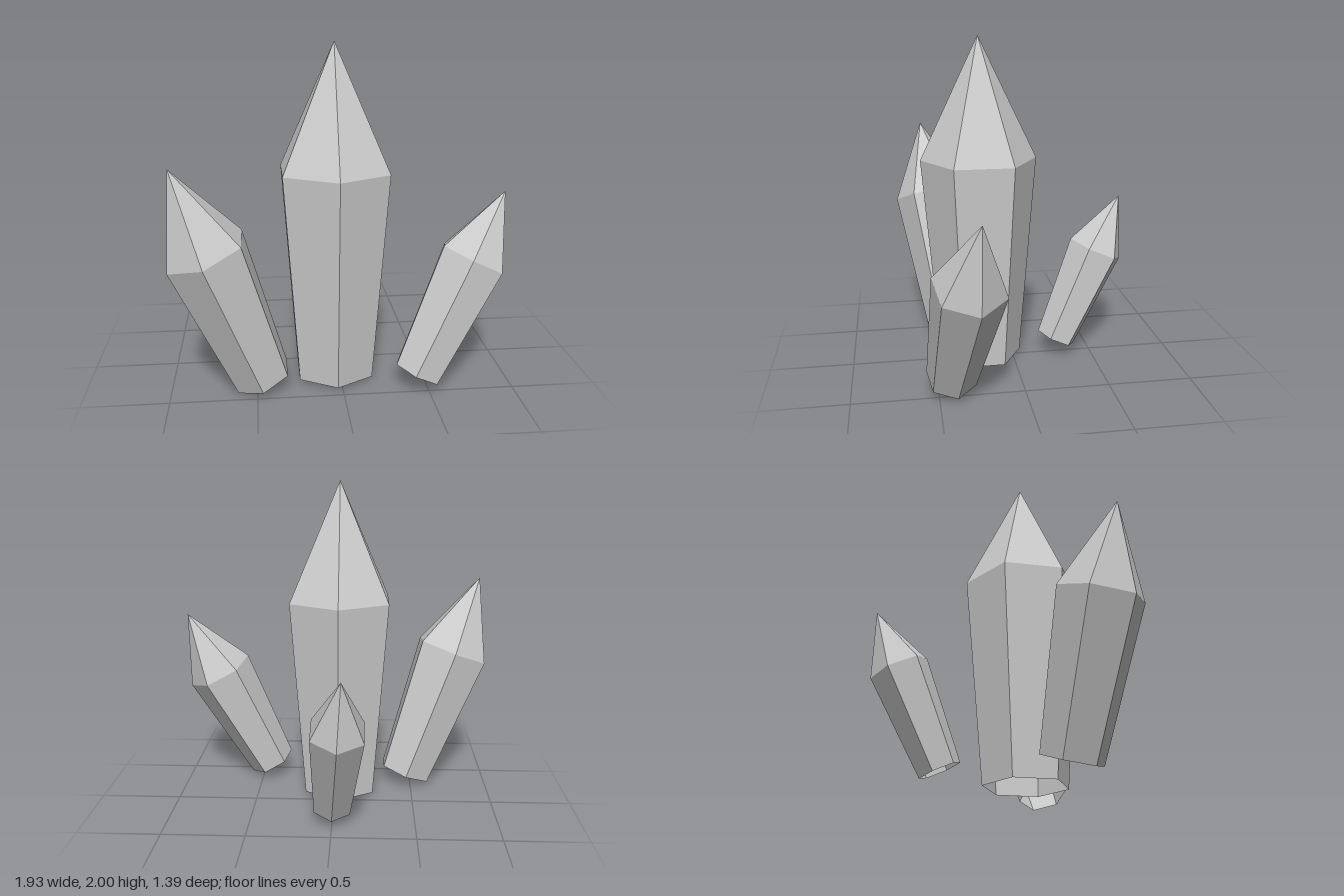
import * as THREE from 'three';

const SIDES = 6;

// Faceted crystal: open at the base, widening to a shoulder, then a point.
// All sizes follow from the length between base centre and tip;
// "edge" is the direction in which the first long edge lies.
function crystal(name, base, tip, edge, material) {
  const a = new THREE.Vector3(...base);
  const b = new THREE.Vector3(...tip);
  const axis = b.clone().sub(a);
  const length = axis.length();
  axis.normalize();
  const u = new THREE.Vector3(...edge);
  u.addScaledVector(axis, -u.dot(axis)).normalize();
  const v = new THREE.Vector3().crossVectors(axis, u);

  const ring = (t, radius) => Array.from({ length: SIDES }, (_, i) => {
    const angle = (i / SIDES) * Math.PI * 2;
    return a.clone().addScaledVector(axis, t * length)
      .addScaledVector(u, Math.cos(angle) * radius * length)
      .addScaledVector(v, Math.sin(angle) * radius * length);
  });
  const foot = ring(0, 0.126);
  const shoulder = ring(0.633, 0.1765);

  const points = [];
  for (let i = 0; i < SIDES; i++) {
    const j = (i + 1) % SIDES;
    points.push(foot[i], foot[j], shoulder[j]); // long side
    points.push(foot[i], shoulder[j], shoulder[i]);
    points.push(shoulder[i], shoulder[j], b); // point
  }
  const geometry = new THREE.BufferGeometry().setFromPoints(points);
  geometry.computeVertexNormals();
  const mesh = new THREE.Mesh(geometry, material);
  mesh.name = name;
  return mesh;
}

export function createModel() {
  const group = new THREE.Group();
  group.name = 'crystalCluster';

  const stone = new THREE.MeshStandardMaterial({
    color: 0xcccccc, flatShading: true, side: THREE.DoubleSide,
  });
  stone.name = 'paleGrey';

  group.add(
    crystal('mainCrystal', [-0.03, 0.015, 0.2], [-0.03, 2, 0.2], [0, 0, 1], stone),
    crystal('rightCrystal', [-0.467, 0.06, 0.34], [-0.94, 1.36, 0.51], [0, -0.13, 1], stone),
    crystal('leftCrystal', [0.444, 0.085, 0.425], [0.96, 1.145, 0.295], [-0.185, 0.095, 0.042], stone),
    crystal('backCrystal', [0, 0.095, -0.282], [-0.063, 1, -0.687], [0, 0.41, 0.91], stone),
  );
  return group;
}
